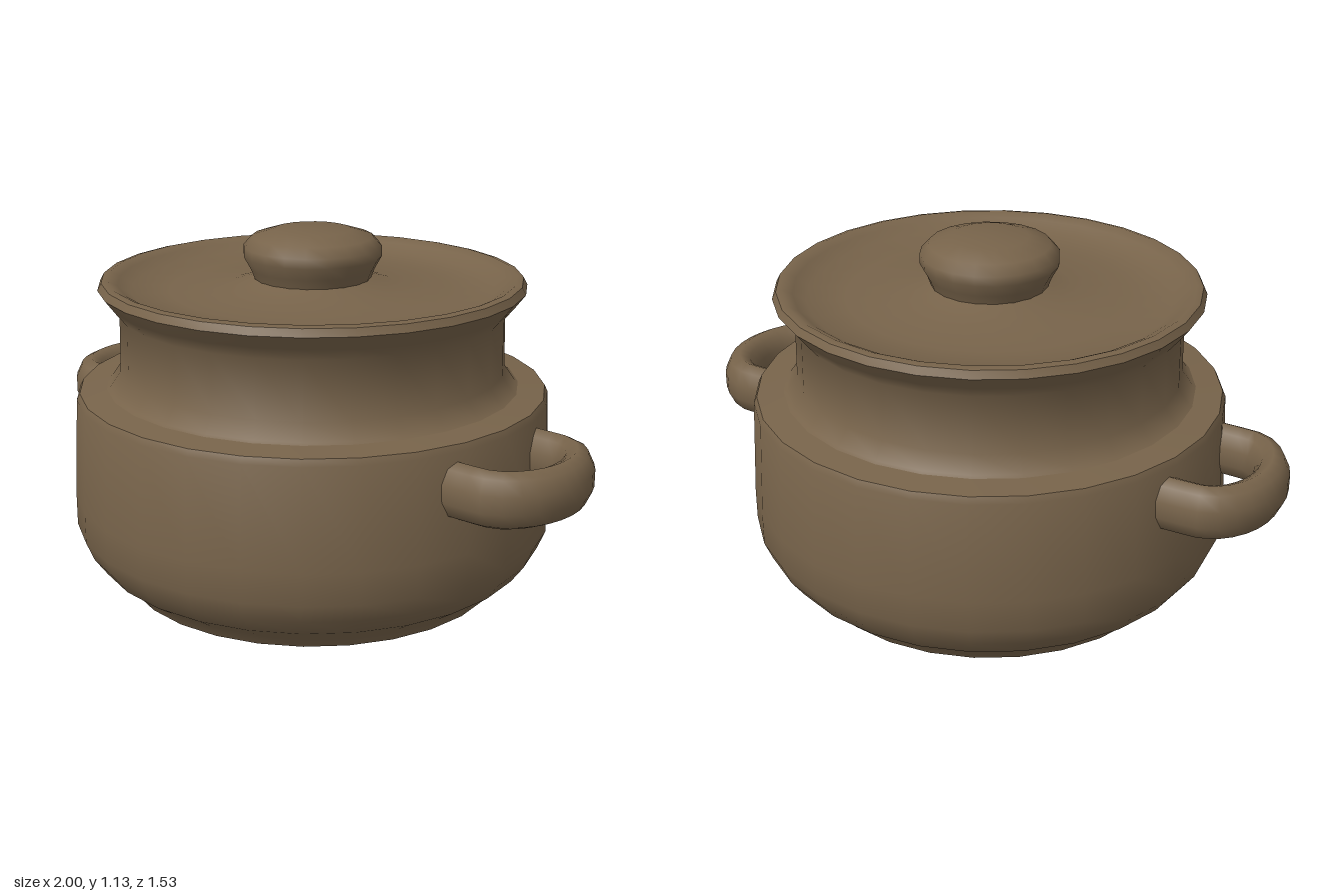
import * as THREE from 'three';
import { toCreasedNormals } from 'three/addons/utils/BufferGeometryUtils.js';

const clay = new THREE.MeshStandardMaterial({ color: 0x77634a });
clay.name = 'brown clay';

// Turned part from [radius, height] pairs, listed from the bottom up
function turned(name, profile, segments, crease = 0.8) {
  const points = profile.map(([r, y]) => new THREE.Vector2(r, y));
  const geometry = toCreasedNormals(new THREE.LatheGeometry(points, segments), crease);
  const mesh = new THREE.Mesh(geometry, clay);
  mesh.name = name;
  return mesh;
}

// Loop handle: a flattened-oval tube; side is +1 (left) or -1 (right)
function handle(side) {
  const path = new THREE.CatmullRomCurve3(
    [[0.66, 0.2], [0.76, 0.2], [0.85, 0.19], [0.92, 0.115], [0.947, 0],
      [0.92, -0.115], [0.85, -0.19], [0.76, -0.2], [0.66, -0.2]]
      .map(([x, z]) => new THREE.Vector3(x * side, 0, z * side))
  );
  const geometry = new THREE.TubeGeometry(path, 20, 0.056, 10, false);
  geometry.scale(1, 1.55, 1);
  const mesh = new THREE.Mesh(geometry, clay);
  mesh.position.y = 0.5;
  mesh.name = side > 0 ? 'leftHandle' : 'rightHandle';
  return mesh;
}

export function createModel() {
  const pot = new THREE.Group();
  pot.name = 'casserolePot';

  // Foot, rounded belly and shoulder
  pot.add(turned('body', [
    [0, 0], [0.61, 0], [0.64, 0.045], [0.7, 0.085], [0.74, 0.14],
    [0.765, 0.2], [0.765, 0.3], [0.75, 0.615], [0.74, 0.635], [0.65, 0.645],
  ], 28));

  // Waisted neck flaring into the rim
  pot.add(turned('neck', [
    [0.67, 0.636], [0.645, 0.65], [0.61, 0.7], [0.607, 0.88],
    [0.64, 0.92], [0.672, 0.962], [0.66, 0.985],
  ], 28));

  // Dished lid, rising at the middle to meet the knob
  pot.add(turned('lid', [
    [0.66, 0.985], [0.64, 0.99], [0.61, 0.975], [0.57, 0.95],
    [0.45, 0.945], [0.27, 0.955], [0.2, 0.975], [0.17, 0.985],
  ].reverse().map(([r, y]) => [r, y]).reverse(), 28));

  // Knob
  pot.add(turned('knob', [
    [0.18, 0.97], [0.195, 1.01], [0.217, 1.05], [0.217, 1.08],
    [0.19, 1.11], [0.12, 1.132], [0, 1.134],
  ], 20));

  pot.add(handle(1), handle(-1));
  return pot;
}
